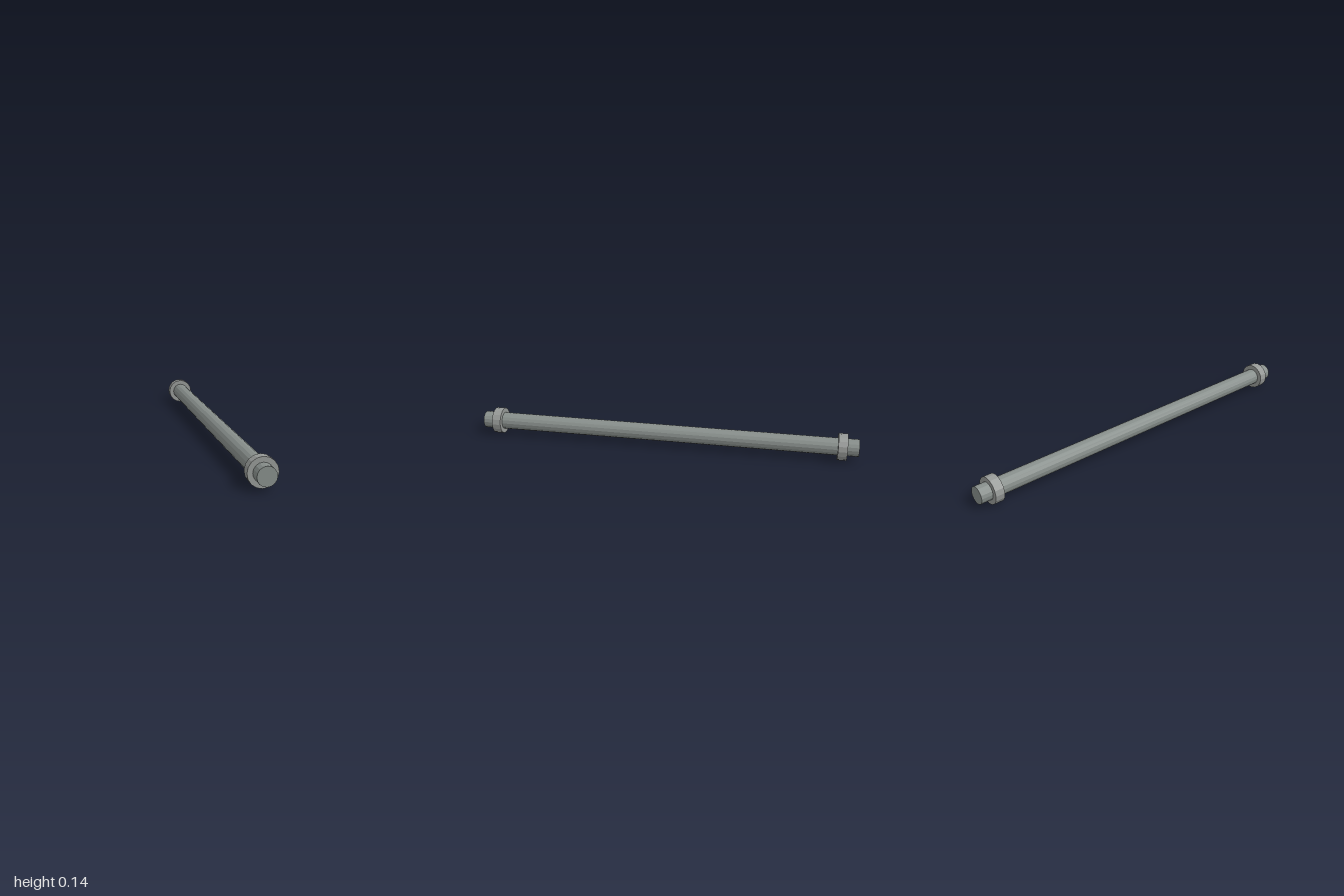
import * as THREE from 'three';

const AXIS_Y = 0.071;
const SIDES = 16;

// Faceted cylinder lying along z, with a corner pointing straight up
function rod(name, radius, length, z, color) {
  const geometry = new THREE.CylinderGeometry(radius, radius, length, SIDES);
  geometry.rotateX(Math.PI / 2);
  const material = new THREE.MeshStandardMaterial({ color, flatShading: true });
  const mesh = new THREE.Mesh(geometry, material);
  mesh.name = name;
  mesh.position.set(0, AXIS_Y, z);
  return mesh;
}

export function createModel() {
  const group = new THREE.Group();
  group.name = 'axle';

  // Long shaft
  group.add(rod('shaft', 0.0445, 2, 0, 0x868d8a));

  // Collar near each end
  for (const [name, side] of [['frontCollar', 1], ['backCollar', -1]]) {
    group.add(rod(name, 0.069, 0.047, side * 0.918, 0x959896));
  }
  return group;
}
